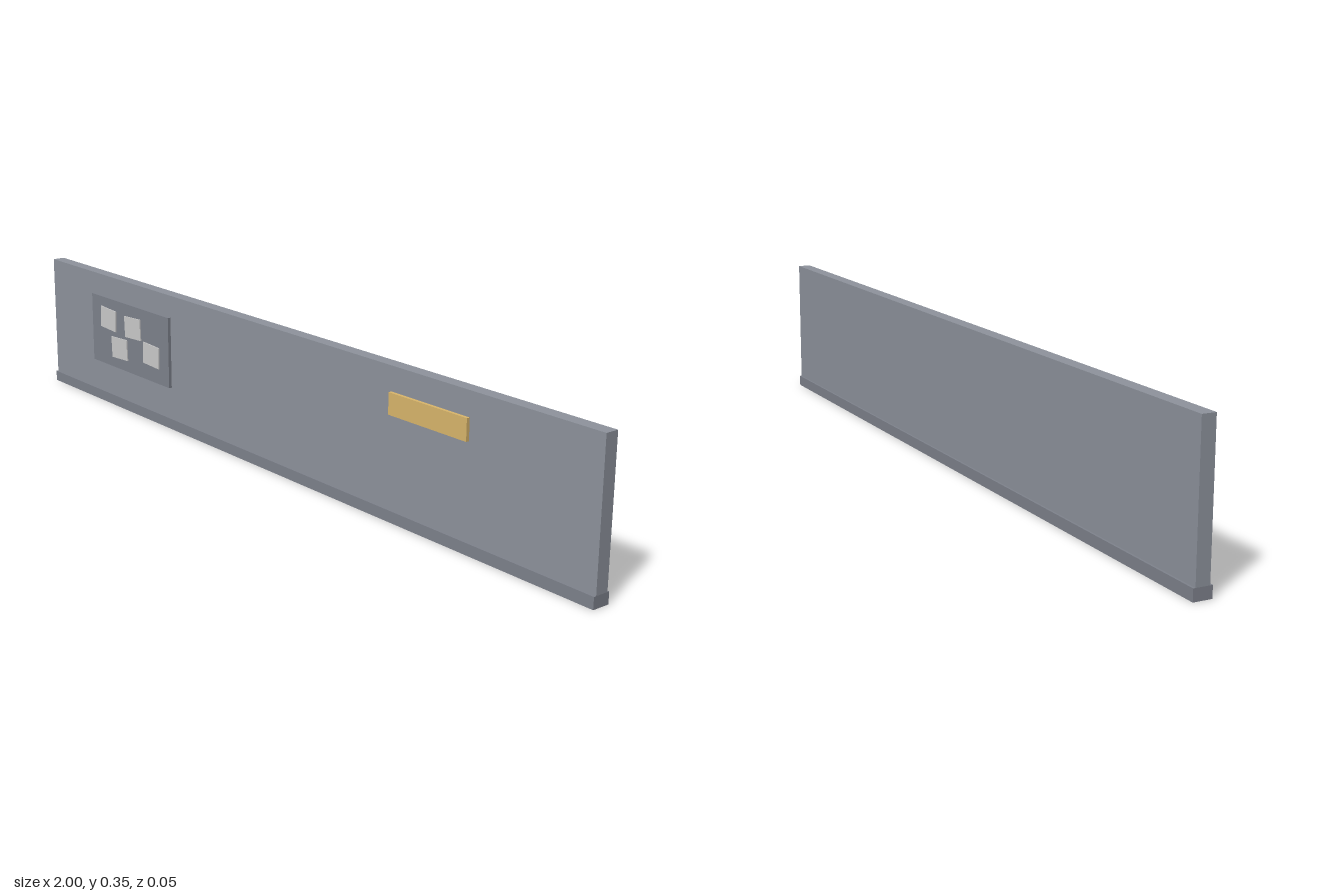
import * as THREE from 'three';

export function createModel() {
  const group = new THREE.Group();
  const paint = (color) => new THREE.MeshStandardMaterial({ color });
  const wallPaint = paint(0x8f949e);
  const trimPaint = paint(0x7f838d);
  const paper = paint(0xdcdcd8);
  const brass = paint(0xdab76c);

  // Box given by its extents on each axis
  function slab(name, material, [x0, x1], [y0, y1], [z0, z1], tilt = 0) {
    const mesh = new THREE.Mesh(new THREE.BoxGeometry(x1 - x0, y1 - y0, z1 - z0), material);
    mesh.position.set((x0 + x1) / 2, (y0 + y1) / 2, (z0 + z1) / 2);
    mesh.rotation.z = tilt;
    mesh.name = name;
    group.add(mesh);
  }

  // Wall panel standing on a slightly thicker skirting
  slab('skirting', trimPaint, [-1, 1], [0, 0.027], [-0.023, 0.02]);
  slab('wall', wallPaint, [-1, 1], [0.027, 0.35], [-0.018, 0.014]);

  // Notice board and sign plate on the front
  slab('noticeBoard', trimPaint, [-0.785, -0.42], [0.109, 0.293], [0.014, 0.022]);
  slab('signPlate', brass, [0.415, 0.65], [0.243, 0.293], [0.014, 0.022]);

  // Pinned notes: centre x, centre y, tilt
  const notes = [
    [-0.702, 0.237, -0.05],
    [-0.584, 0.234, 0.05],
    [-0.65, 0.166, 0.05],
    [-0.498, 0.179, -0.04],
  ];
  for (const [x, y, tilt] of notes) {
    slab('note', paper, [x - 0.037, x + 0.037], [y - 0.028, y + 0.028], [0.022, 0.025], tilt);
  }

  return group;
}
